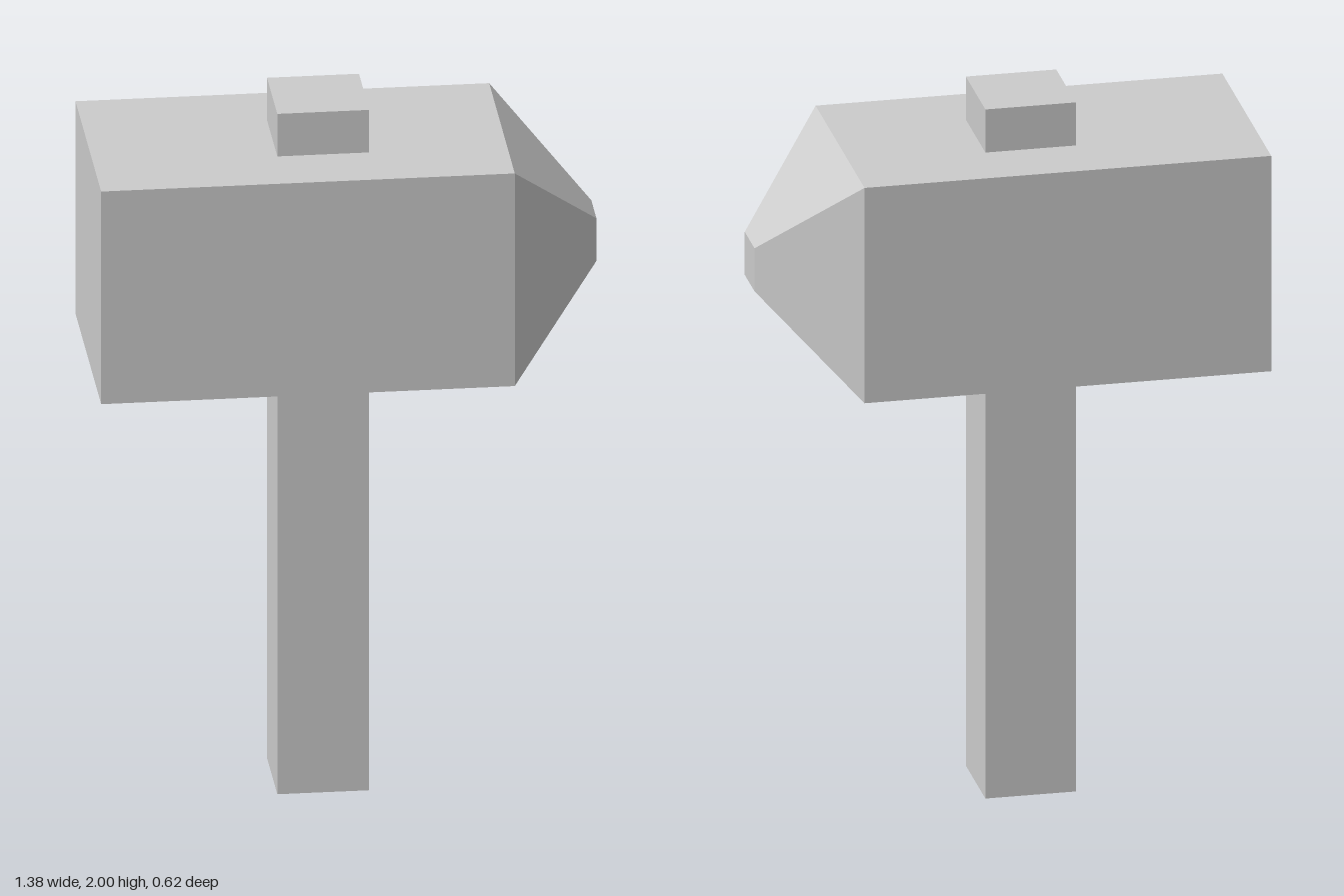
import * as THREE from 'three';

const material = new THREE.MeshStandardMaterial({ color: 0xcccccc, flatShading: true });

function addPart(group, name, geometry, x, y, z) {
  const mesh = new THREE.Mesh(geometry, material);
  mesh.name = name;
  mesh.position.set(x, y, z);
  group.add(mesh);
}

// Square block along x whose +x end narrows to a small blunt face
function taperedBlock(backX, shoulderX, tipX, size, tipSize) {
  const box = new THREE.BoxGeometry(2, size, size, 2, 1, 1);
  const pos = box.attributes.position;
  for (let i = 0; i < pos.count; i++) {
    const ring = Math.round(pos.getX(i)) + 1; // 0 back, 1 shoulder, 2 tip
    const scale = ring === 2 ? tipSize / size : 1;
    pos.setXYZ(i, [backX, shoulderX, tipX][ring], pos.getY(i) * scale, pos.getZ(i) * scale);
  }
  const geometry = box.toNonIndexed();
  geometry.computeVertexNormals();
  return geometry;
}

export function createModel() {
  const hammer = new THREE.Group();
  hammer.name = 'hammer';

  // Square handle running right through the head
  addPart(hammer, 'handle', new THREE.BoxGeometry(0.25, 2, 0.25), -0.0625, 1, 0);

  // Head with a flat striking face at -x and a tapered peen at +x
  addPart(hammer, 'head', taperedBlock(-0.6875, 0.4375, 0.6875, 0.625, 0.125), 0, 1.5625, 0);

  return hammer;
}
